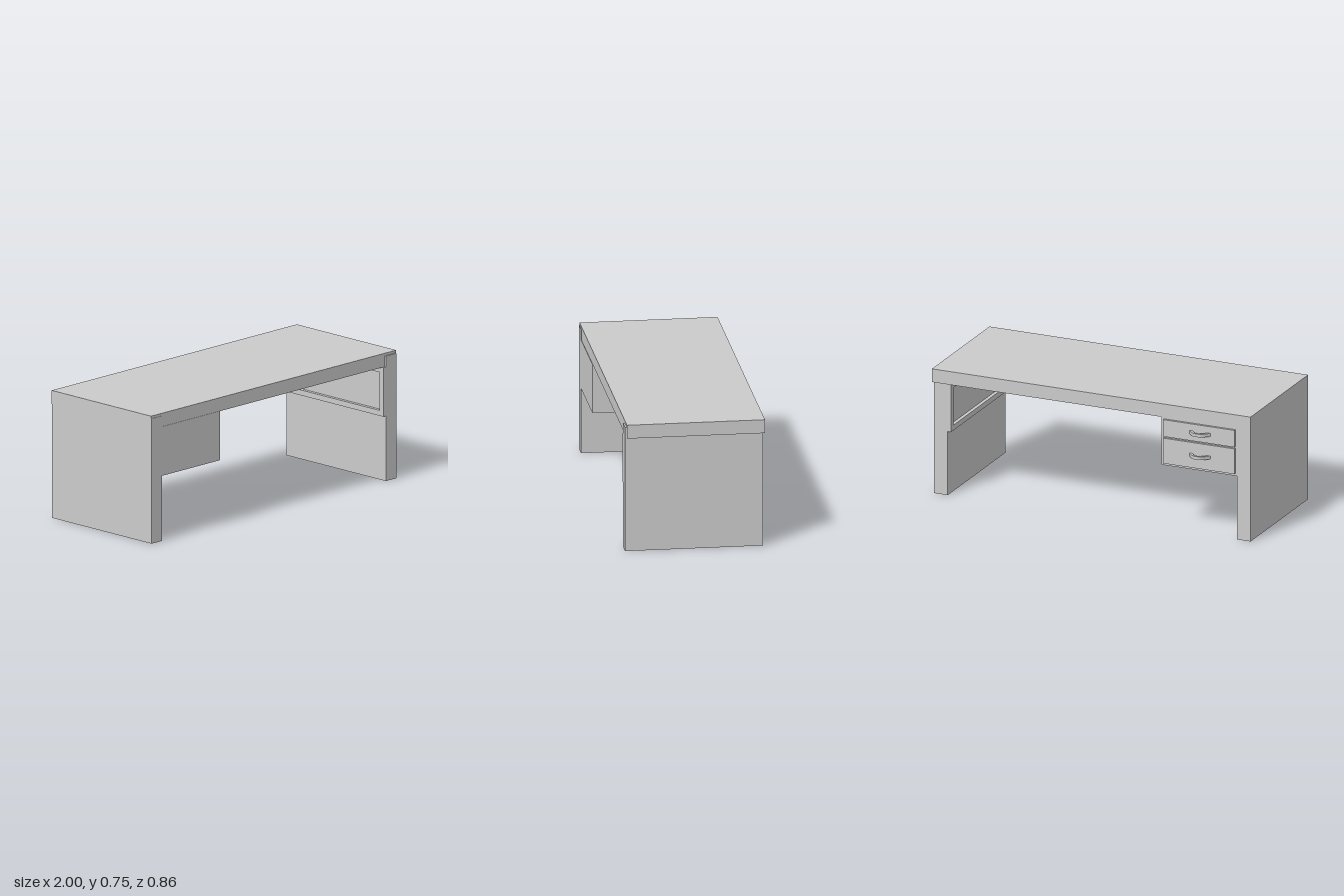
import * as THREE from 'three';

const material = new THREE.MeshStandardMaterial({ color: 0xcccccc, flatShading: true });

// Box given by its extents on each axis
function box(name, [x0, x1], [y0, y1], [z0, z1]) {
  const mesh = new THREE.Mesh(new THREE.BoxGeometry(x1 - x0, y1 - y0, z1 - z0), material);
  mesh.position.set((x0 + x1) / 2, (y0 + y1) / 2, (z0 + z1) / 2);
  mesh.name = name;
  return mesh;
}

// Arched pull: a bent band with a flat section, bulging towards -z
function handle(name, x, y, z) {
  const outer = [[-0.066, 0], [-0.058, 0.009], [-0.038, 0.03], [-0.02, 0.042],
    [0.02, 0.042], [0.038, 0.03], [0.058, 0.009], [0.066, 0]];
  const inner = [[0.046, 0], [0.03, 0.019], [0.015, 0.029],
    [-0.015, 0.029], [-0.03, 0.019], [-0.046, 0]];
  const shape = new THREE.Shape([...outer, ...inner].map(([a, b]) => new THREE.Vector2(a, b)));
  const geometry = new THREE.ExtrudeGeometry(shape, { depth: 0.019, bevelEnabled: false });
  geometry.rotateX(-Math.PI / 2);
  const mesh = new THREE.Mesh(geometry, material);
  mesh.position.set(x, y, z);
  mesh.name = name;
  return mesh;
}

// Open rectangular frame fixed to the inner face of the left leg
function sideFrame() {
  const z0 = -0.363, z1 = 0.433, y0 = 0.385, y1 = 0.675, bar = 0.032;
  const shape = new THREE.Shape([[z0, y0], [z1, y0], [z1, y1], [z0, y1]]
    .map(([a, b]) => new THREE.Vector2(a, b)));
  shape.holes.push(new THREE.Path([[z0 + bar, y0 + bar], [z0 + bar, y1 - bar],
    [z1 - bar, y1 - bar], [z1 - bar, y0 + bar]].map(([a, b]) => new THREE.Vector2(a, b))));
  const geometry = new THREE.ExtrudeGeometry(shape, { depth: 0.022, bevelEnabled: false });
  geometry.rotateY(-Math.PI / 2);
  const mesh = new THREE.Mesh(geometry, material);
  mesh.position.x = 0.906;
  mesh.name = 'sideFrame';
  return mesh;
}

export function createModel() {
  const desk = new THREE.Group();
  desk.name = 'desk';

  // Slab top and two panel legs
  desk.add(
    box('desktop', [-1, 1], [0.675, 0.755], [-0.373, 0.423]),
    box('rightLeg', [-0.999, -0.913], [0, 0.74], [-0.37, 0.426]),
    box('leftLeg', [0.905, 0.991], [0, 0.74], [-0.363, 0.433]),
    sideFrame(),
  );

  // Hanging drawer cabinet
  const cabinet = new THREE.Group();
  cabinet.name = 'drawerCabinet';
  cabinet.add(box('cabinetBody', [-0.915, -0.44], [0.385, 0.676], [-0.372, 0.425]));
  const drawers = [['upper', 0.563, 0.665, 0.606], ['lower', 0.4, 0.553, 0.469]];
  for (const [label, y0, y1, handleY] of drawers) {
    cabinet.add(
      box(label + 'DrawerFront', [-0.905, -0.458], [y0, y1], [-0.387, -0.37]),
      handle(label + 'DrawerHandle', -0.688, handleY, -0.387),
    );
  }
  desk.add(cabinet);
  return desk;
}
